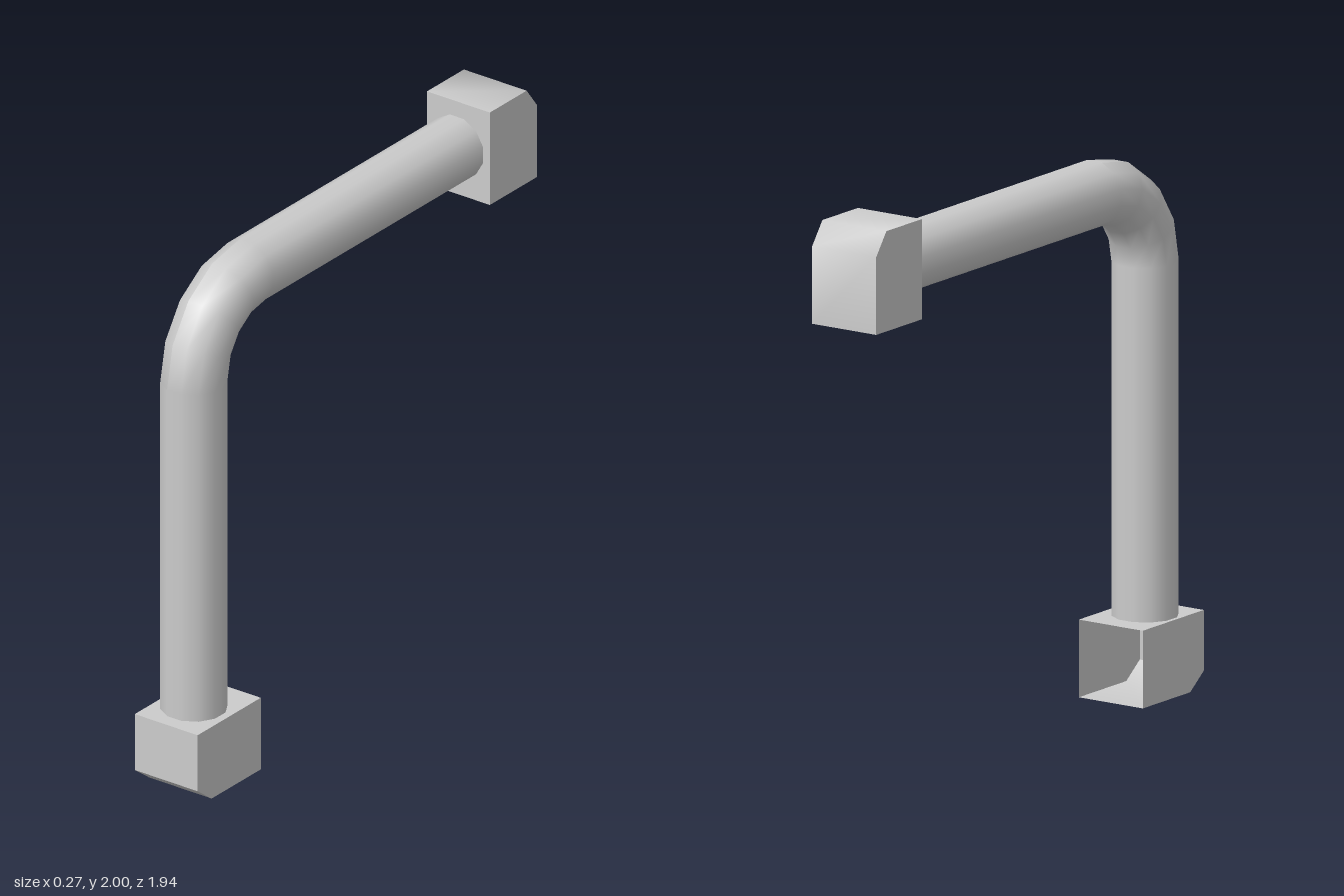
import * as THREE from 'three';
import { mergeGeometries, toCreasedNormals } from 'three/addons/utils/BufferGeometryUtils.js';

const SIDES = 12;
const R = 0.117;          // pipe radius
const PIPE_X = -0.007;    // pipe axis
const POST_Z = 0.8025;    // upright axis
const ARM_Y = 1.828;      // horizontal axis
const BEND = 0.3;         // bend radius on the axis

export function createModel() {
  const group = new THREE.Group();
  const mat = new THREE.MeshStandardMaterial({ color: 0xcccccc, side: THREE.DoubleSide });

  const add = (name, geometry, x, y, z) => {
    const mesh = new THREE.Mesh(geometry, mat);
    mesh.name = name;
    mesh.position.set(x, y, z);
    group.add(mesh);
    return mesh;
  };

  // straight open pipe with flats facing the axes
  const pipe = (length) =>
    new THREE.CylinderGeometry(R, R, length, SIDES, 1, true, Math.PI / SIDES);

  const bendY = ARM_Y - BEND, bendZ = POST_Z - BEND;
  const postBottom = 0.25, armBack = -0.72;
  add('uprightPipe', pipe(bendY - postBottom), PIPE_X, (bendY + postBottom) / 2, POST_Z);
  add('horizontalPipe', pipe(bendZ - armBack).rotateX(Math.PI / 2), PIPE_X, ARM_Y, (bendZ + armBack) / 2);

  // quarter-turn elbow in four segments
  const ring = [];
  for (let i = 0; i <= SIDES; i++) {
    const a = ((i + 0.5) / SIDES) * Math.PI * 2;
    ring.push(new THREE.Vector2(BEND + R * Math.cos(a), R * Math.sin(a)));
  }
  const elbow = new THREE.LatheGeometry(ring, 4, 0, Math.PI / 2).rotateZ(Math.PI / 2);
  add('elbowPipe', elbow, PIPE_X, bendY, bendZ);

  // thin-walled socket: pipe enters through +y, -z side is open, chamfer at bottom front
  const socket = (height, depth, holeX, holeZ) => {
    const w = 0.135, d = depth / 2;
    const profile = [[0, -d], [0, d], [0.06 - height, d], [-height, d - 0.08], [-height, -d]]; // [y, z]
    const parts = [];

    // side cheeks
    const cheek = new THREE.Shape(profile.map(([y, z]) => new THREE.Vector2(-z, y)));
    for (const s of [-1, 1]) {
      const g = new THREE.ShapeGeometry(cheek);
      if (s < 0) g.scale(-1, 1, 1).rotateY(-Math.PI / 2);
      else g.rotateY(Math.PI / 2);
      if (s < 0) {
        // mirrored cheek: restore the outward winding
        const idx = g.index.array;
        for (let i = 0; i < idx.length; i += 3) [idx[i], idx[i + 1]] = [idx[i + 1], idx[i]];
      }
      parts.push(g.translate(s * w, 0, 0));
    }

    // front, chamfer and bottom
    for (let i = 1; i < profile.length - 1; i++) {
      const [y0, z0] = profile[i], [y1, z1] = profile[i + 1];
      const len = Math.hypot(y1 - y0, z1 - z0);
      const g = new THREE.PlaneGeometry(2 * w, len);
      g.rotateX(Math.atan2(z0 - z1, y0 - y1));
      parts.push(g.translate(0, (y0 + y1) / 2, (z0 + z1) / 2));
    }

    // entry wall with the pipe hole
    const wall = new THREE.Shape([[-w, -d], [w, -d], [w, d], [-w, d]].map(([x, y]) => new THREE.Vector2(x, y)));
    const hole = [];
    for (let i = 0; i < SIDES; i++) {
      const a = ((i + 0.5) / SIDES) * Math.PI * 2;
      hole.push(new THREE.Vector2(holeX + R * Math.cos(a), -holeZ + R * Math.sin(a)));
    }
    wall.holes.push(new THREE.Path(hole));
    parts.push(new THREE.ShapeGeometry(wall).rotateX(-Math.PI / 2));

    // soft shading over the chamfer, sharp corners elsewhere
    return toCreasedNormals(mergeGeometries(parts.map((g) => g.toNonIndexed())), 1.0);
  };

  add('lowerSocket', socket(0.275, 0.36, PIPE_X, POST_Z - 0.79), 0, 0.275, 0.79);

  // the upper socket is the same part turned over so that its y and z swap
  const upper = add('upperSocket', socket(0.27, 0.355, -PIPE_X, ARM_Y - 1.8225), 0, 1.8225, -0.695);
  upper.quaternion.setFromAxisAngle(new THREE.Vector3(0, 1, 1).normalize(), Math.PI);

  return group;
}
